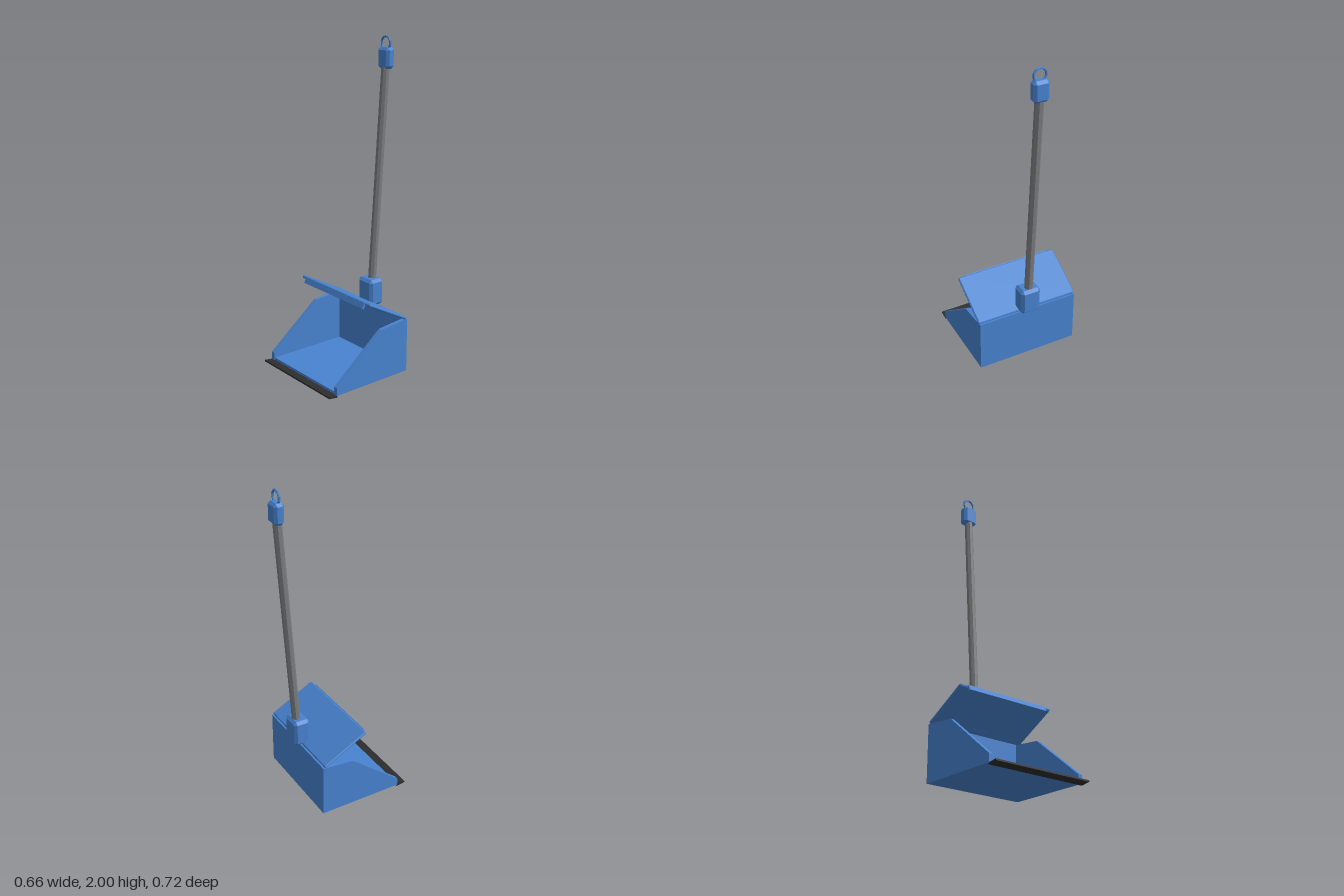
import * as THREE from 'three';
import { ConvexGeometry } from 'three/addons/geometries/ConvexGeometry.js';

const material = (name, color) => {
  const m = new THREE.MeshStandardMaterial({ color, flatShading: true });
  m.name = name;
  return m;
};

// Box with every edge and corner cut off by c
function chamferBox(w, h, d, c) {
  const half = [w / 2, h / 2, d / 2];
  const points = [];
  for (const sx of [-1, 1]) for (const sy of [-1, 1]) for (const sz of [-1, 1]) {
    for (let axis = 0; axis < 3; axis++) {
      const e = half.map((v, i) => (i === axis ? v : v - c));
      points.push(new THREE.Vector3(sx * e[0], sy * e[1], sz * e[2]));
    }
  }
  return new ConvexGeometry(points);
}

export function createModel() {
  const blue = material('bluePlastic', 0x4883d0);
  const grey = material('greyMetal', 0x7a7d80);
  const black = material('blackRubber', 0x2e2e2e);

  const model = new THREE.Group();
  model.name = 'longHandledDustpan';
  const add = (name, geometry, mat, x, y, z, parent = model) => {
    const mesh = new THREE.Mesh(geometry, mat);
    mesh.name = name;
    mesh.position.set(x, y, z);
    parent.add(mesh);
    return mesh;
  };

  // Pan: floor, back wall and two sloping sides
  add('panFloor', new THREE.BoxGeometry(0.6, 0.015, 0.535), blue, 0, 0.0195, 0.0325);
  add('backWall', new THREE.BoxGeometry(0.6, 0.338, 0.02), blue, 0, 0.181, -0.225);
  const profile = new THREE.Shape([
    [-0.305, 0.012], [0.235, 0.012], [0.235, 0.35], [0.03, 0.33], [-0.305, 0.06],
  ].map(([z, y]) => new THREE.Vector2(z, y)));
  const side = new THREE.ExtrudeGeometry(profile, { depth: 0.025, bevelEnabled: false });
  side.rotateY(Math.PI / 2);
  add('leftSide', side, blue, 0.3, 0, 0);
  add('rightSide', side, blue, -0.325, 0, 0);

  // Rubber lip, rising slightly to the front
  const lip = add('frontLip', new THREE.BoxGeometry(0.65, 0.01, 0.06), black, 0, 0.011, 0.33);
  lip.rotation.x = -0.15;

  // Raised lid with a strip hanging under its front edge
  const lid = new THREE.Group();
  lid.name = 'lid';
  lid.position.set(0, 0.43, -0.083);
  lid.rotation.x = -THREE.MathUtils.degToRad(28);
  model.add(lid);
  add('lidPlate', chamferBox(0.66, 0.018, 0.322, 0.006), blue, 0, 0, 0, lid);
  add('lidStrip', new THREE.BoxGeometry(0.56, 0.035, 0.016), blue, 0, -0.0175, 0.16, lid);

  // Pole leaning backwards between socket and grip
  const bottom = new THREE.Vector3(0, 0.45, -0.231);
  const top = new THREE.Vector3(0, 1.85, -0.327);
  const axis = top.clone().sub(bottom);
  const poleGeometry = new THREE.CylinderGeometry(0.026, 0.026, axis.length(), 8);
  poleGeometry.rotateY(Math.PI / 8);
  const middle = bottom.clone().lerp(top, 0.5);
  const pole = add('pole', poleGeometry, grey, 0, middle.y, middle.z);
  pole.quaternion.setFromUnitVectors(new THREE.Vector3(0, 1, 0), axis.normalize());

  // Socket, end grip and hanging ring
  add('poleSocket', chamferBox(0.128, 0.168, 0.106, 0.017), blue, 0, 0.44, -0.225);
  add('endGrip', chamferBox(0.096, 0.125, 0.062, 0.016), blue, 0, 1.868, -0.329);
  const ring = new THREE.TorusGeometry(0.038, 0.007, 6, 10);
  ring.rotateZ(Math.PI / 10);
  add('hangingRing', ring, blue, 0, 1.956, -0.327);

  return model;
}
